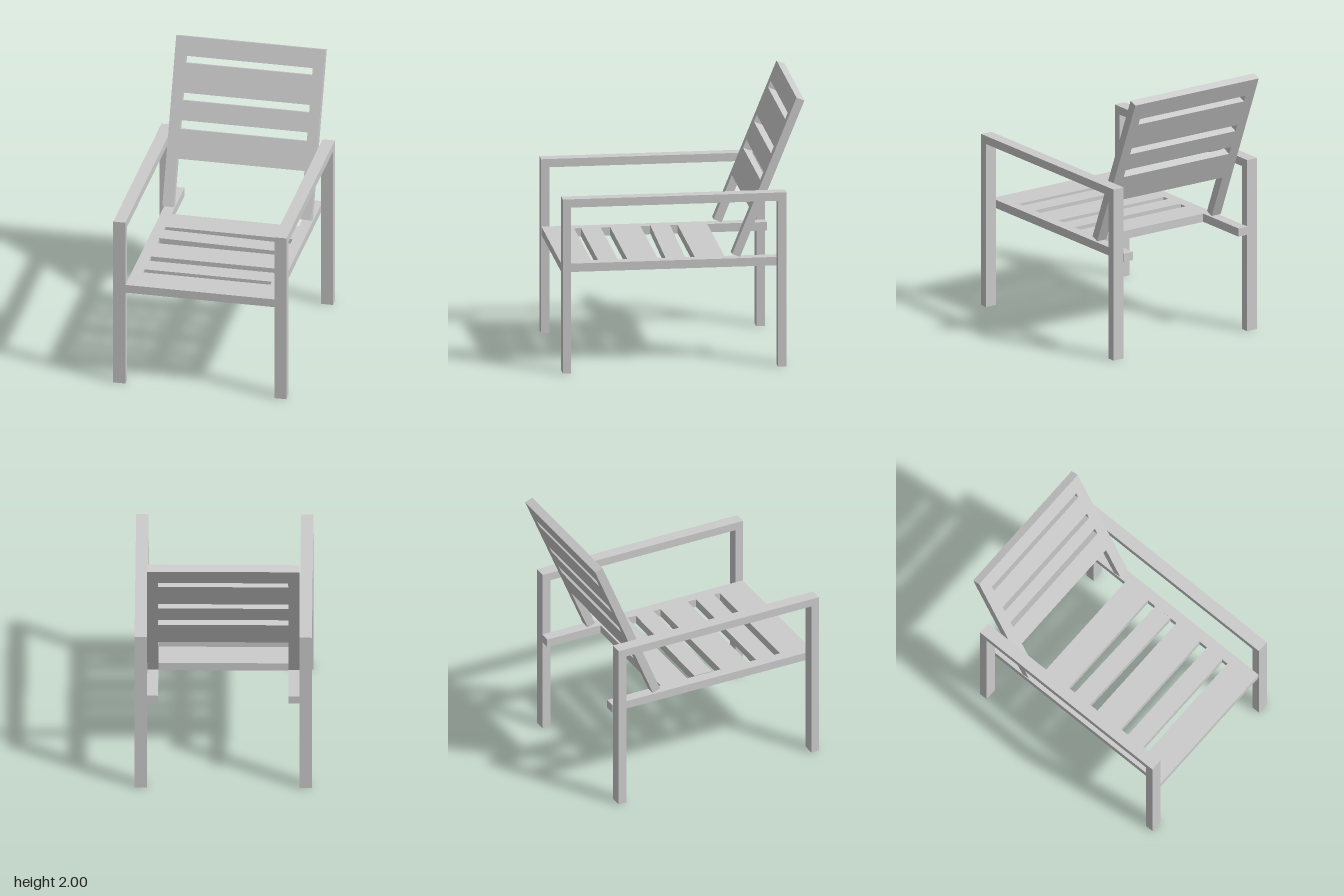
import * as THREE from 'three';

const material = new THREE.MeshStandardMaterial({ color: 0xcccccc, flatShading: true });

function box(name, [x0, x1], [y0, y1], [z0, z1]) {
  const mesh = new THREE.Mesh(new THREE.BoxGeometry(x1 - x0, y1 - y0, z1 - z0), material);
  mesh.position.set((x0 + x1) / 2, (y0 + y1) / 2, (z0 + z1) / 2);
  mesh.name = name;
  return mesh;
}

// Slotted panel: two rails joined by slats, open between the rails up to `open`.
// It lies in local xy, with its thickness going towards -z.
function slottedPanel(name, length, open, slots, thickness) {
  const outer = 0.557, inner = 0.476;
  const shape = new THREE.Shape([
    [-outer, 0], [-inner, 0], [-inner, open], [inner, open],
    [inner, 0], [outer, 0], [outer, length], [-outer, length],
  ].map(([x, y]) => new THREE.Vector2(x, y)));
  for (const [a, b] of slots) {
    shape.holes.push(new THREE.Path([
      [-inner, a], [-inner, b], [inner, b], [inner, a],
    ].map(([x, y]) => new THREE.Vector2(x, y))));
  }
  const geometry = new THREE.ExtrudeGeometry(shape, { depth: thickness, bevelEnabled: false });
  geometry.translate(0, 0, -thickness);
  const mesh = new THREE.Mesh(geometry, material);
  mesh.name = name;
  return mesh;
}

export function createModel() {
  const chair = new THREE.Group();
  chair.name = 'armchair';

  // Side frames: two legs and an armrest each
  for (const side of [-1, 1]) {
    const frame = new THREE.Group();
    frame.name = side > 0 ? 'leftSideFrame' : 'rightSideFrame';
    const xs = side > 0 ? [0.557, 0.648] : [-0.648, -0.557];
    frame.add(
      box('frontLeg', xs, [0, 1.25], [0.837, 0.898]),
      box('rearLeg', xs, [0, 1.25], [-0.75, -0.687]),
      box('armrest', xs, [1.25, 1.312], [-0.75, 0.898]),
    );
    chair.add(frame);
  }

  // Seat, laid flat; the wide slot holds the loose slat
  const seatBack = -0.755;
  const seatSlots = [[-0.097, 0.177], [0.4, 0.47], [0.616, 0.666]]
    .map((slot) => slot.map((z) => z - seatBack));
  const seat = slottedPanel('seat', 0.896 - seatBack, -0.315 - seatBack, seatSlots, 0.063);
  seat.rotation.x = Math.PI / 2;
  seat.position.set(0, 0.741, seatBack);
  chair.add(seat);

  // Slightly crooked slat in the seat
  const slat = box('looseSeatSlat', [-0.478, 0.478], [0.744, 0.807], [-0.032, 0.112]);
  slat.rotation.set(0, -0.014, -0.007);
  chair.add(slat);

  // Reclined backrest; slot heights are measured on its front face
  const lean = Math.atan2(0.475, 1.165);
  const along = (y) => (y - 0.837) / Math.cos(lean);
  const backSlots = [[1.37, 1.43], [1.565, 1.617], [1.82, 1.868]]
    .map((slot) => slot.map(along));
  const back = slottedPanel('backrest', along(2), along(1.167), backSlots, 0.063);
  back.rotation.x = -lean;
  back.position.set(0, 0.837, -0.362);
  chair.add(back);

  return chair;
}
